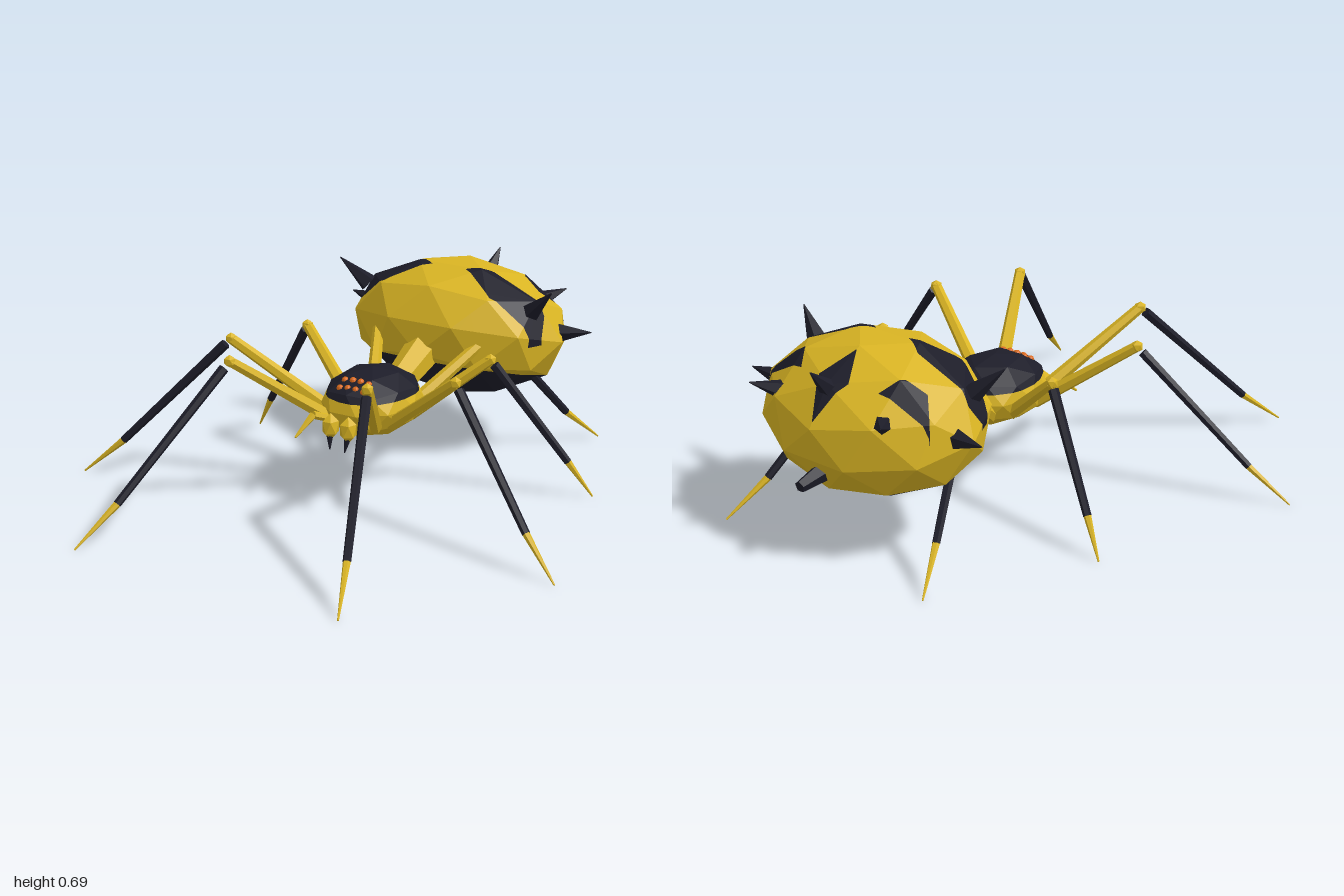
import * as THREE from 'three';

const V = (x, y, z) => new THREE.Vector3(x, y, z);
const yellow = new THREE.MeshStandardMaterial({ color: 0xd9b423 });
yellow.name = 'yellow';
const black = new THREE.MeshStandardMaterial({ color: 0x1d1d29 });
black.name = 'black';
const orange = new THREE.MeshStandardMaterial({ color: 0xd8691c });
orange.name = 'orange';

// Faceted normals for every geometry
function facet(geo) {
  const g = geo.index ? geo.toNonIndexed() : geo;
  g.computeVertexNormals();
  return g;
}

function addMesh(parent, name, geo, material) {
  const mesh = new THREE.Mesh(facet(geo), material);
  mesh.name = name;
  parent.add(mesh);
  return mesh;
}

// Icosphere standing on a vertex, stretched to an ellipsoid
function ball(rx, ry, rz, detail = 1) {
  return new THREE.IcosahedronGeometry(1, detail)
    .rotateX(-Math.atan((1 + Math.sqrt(5)) / 2)).rotateY(Math.PI).scale(rx, ry, rz);
}

// Tapered rod between two points
function rod(a, b, ra, rb, sides = 6) {
  const d = b.clone().sub(a);
  const g = new THREE.CylinderGeometry(rb, ra, d.length(), sides);
  g.applyQuaternion(new THREE.Quaternion().setFromUnitVectors(V(0, 1, 0), d.normalize()));
  const m = a.clone().add(b).multiplyScalar(0.5);
  return g.translate(m.x, m.y, m.z);
}

// Cut a convex polygon by a plane into [inside, outside]
function split(poly, plane) {
  const inside = [], outside = [];
  poly.forEach((p, i) => {
    const q = poly[(i + 1) % poly.length];
    const dp = plane.distanceToPoint(p), dq = plane.distanceToPoint(q);
    (dp >= 0 ? inside : outside).push(p);
    if ((dp >= 0) !== (dq >= 0)) {
      const c = p.clone().lerp(q, dp / (dp - dq));
      inside.push(c);
      outside.push(c);
    }
  });
  return [inside, outside];
}

// Divide a surface into plain (group 0) and marked (group 1) faces;
// each region is a list of planes enclosing a marking
function paint(geo, regions) {
  const pos = geo.attributes.position, lists = [[], []];
  const emit = (poly, k) => {
    for (let i = 1; i + 1 < poly.length; i++)
      for (const p of [poly[0], poly[i], poly[i + 1]]) lists[k].push(p.x, p.y, p.z);
  };
  for (let t = 0; t < pos.count; t += 3) {
    let pieces = [[0, 1, 2].map(i => new THREE.Vector3().fromBufferAttribute(pos, t + i))];
    for (const region of regions) {
      const next = [];
      for (const piece of pieces) {
        let rest = piece;
        for (const plane of region) {
          const [inside, outside] = split(rest, plane);
          if (outside.length > 2) next.push(outside);
          rest = inside;
          if (rest.length < 3) break;
        }
        if (rest.length > 2) emit(rest, 1);
      }
      pieces = next;
    }
    pieces.forEach(p => emit(p, 0));
  }
  const out = new THREE.BufferGeometry();
  out.setAttribute('position', new THREE.Float32BufferAttribute([...lists[0], ...lists[1]], 3));
  out.addGroup(0, lists[0].length / 3, 0);
  out.addGroup(lists[0].length / 3, lists[1].length / 3, 1);
  return out;
}

// Upright prism over a convex outline of [x, z] points, above height y
function prism(outline, y) {
  const n = outline.length;
  const mid = V(0, 0, 0);
  outline.forEach(([x, z]) => mid.add(V(x / n, 0, z / n)));
  const planes = outline.map(([x, z], i) => {
    const [x2, z2] = outline[(i + 1) % n];
    const plane = new THREE.Plane().setFromNormalAndCoplanarPoint(V(z2 - z, 0, x - x2).normalize(), V(x, 0, z));
    return plane.distanceToPoint(mid) < 0 ? plane.negate() : plane;
  });
  return [new THREE.Plane(V(0, 1, 0), -y), ...planes];
}

export function createModel() {
  const model = new THREE.Group();
  model.name = 'spider';

  // Abdomen with dark belly and back patches
  const patches = [
    [[0.07, -0.55], [0.16, -0.605], [0.37, -0.6], [0.4, -0.51], [0.22, -0.46]],
    [[0.17, -0.805], [0.36, -0.775], [0.29, -0.705], [0.22, -0.73]],
  ];
  const regions = [[new THREE.Plane().setFromNormalAndCoplanarPoint(V(0, -1, 0.27).normalize(), V(0, 0.385, -0.34))]];
  for (const s of [1, -1])
    for (const p of patches) regions.push(prism(p.map(([x, z]) => [s * x, z]), 0.45));
  regions.push(prism([[0, -0.935], [0.065, -0.83], [0, -0.72], [-0.065, -0.83]], 0.45));
  const abdomen = ball(0.425, 0.255, 0.325).rotateX(-0.27).translate(0, 0.445, -0.638);
  addMesh(model, 'abdomen', paint(abdomen, regions), [yellow, black]);

  // Head and thorax with dark shield
  const thorax = ball(0.17, 0.122, 0.205).translate(0, 0.328, -0.03);
  addMesh(model, 'thorax', paint(thorax, [[new THREE.Plane(V(0, 1, 0), -0.365)]]), [yellow, black]);
  addMesh(model, 'waist', rod(V(0, 0.33, -0.17), V(0, 0.43, -0.4), 0.05, 0.07), yellow);

  // Spines on the abdomen
  const spine = (a, b, r = 0.036, tip = 0.002) => addMesh(model, 'spine', rod(a, b, r, tip, 5), black);
  spine(V(0, 0.58, -0.845), V(0, 0.67, -0.935));
  spine(V(0, 0.315, -0.88), V(0, 0.295, -1), 0.036, 0.02);

  const legs = [
    [V(0.09, 0.28, 0.1), V(0.275, 0.55, 0.44), V(0.455, 0.13, 0.845), V(0.52, 0.004, 0.997)],
    [V(0.12, 0.28, 0.04), V(0.455, 0.53, 0.18), V(0.82, 0.13, 0.345), V(0.957, 0.004, 0.403)],
    [V(0.12, 0.28, -0.08), V(0.38, 0.495, -0.19), V(0.63, 0.13, -0.31), V(0.71, 0.004, -0.35)],
    [V(0.08, 0.28, -0.15), V(0.24, 0.5, -0.46), V(0.38, 0.13, -0.775), V(0.445, 0.004, -0.915)],
  ];

  for (const s of [1, -1]) {
    const m = v => V(s * v.x, v.y, v.z);
    spine(m(V(0.345, 0.57, -0.55)), m(V(0.445, 0.665, -0.51)));
    spine(m(V(0.39, 0.465, -0.68)), m(V(0.51, 0.48, -0.7)));
    spine(m(V(0.22, 0.52, -0.84)), m(V(0.29, 0.555, -0.925)));

    // Legs: thigh, knee, dark shin, pointed foot
    for (const leg of legs) {
      const [hip, knee, ankle, tip] = leg.map(m);
      const g = new THREE.Group();
      g.name = 'leg';
      model.add(g);
      const shinTop = knee.clone().lerp(ankle, 0.05);
      addMesh(g, 'thigh', rod(hip, knee, 0.026, 0.019), yellow);
      addMesh(g, 'knee', ball(0.022, 0.022, 0.022, 0).translate(knee.x, knee.y, knee.z), yellow);
      addMesh(g, 'shin', rod(shinTop, ankle, 0.018, 0.014), black);
      addMesh(g, 'foot', rod(ankle, tip, 0.013, 0.003), yellow);
    }

    // Jaws with fangs, and feelers
    addMesh(model, 'jaw', ball(0.032, 0.048, 0.036, 0).translate(s * 0.036, 0.285, 0.185), yellow);
    addMesh(model, 'fang', rod(m(V(0.036, 0.26, 0.19)), m(V(0.03, 0.205, 0.2)), 0.014, 0.002, 5), black);
    const feeler = [V(0.07, 0.28, 0.1), V(0.105, 0.315, 0.19), V(0.13, 0.25, 0.265)].map(m);
    addMesh(model, 'feeler', rod(feeler[0], feeler[1], 0.016, 0.014), yellow);
    addMesh(model, 'feelerTip', rod(feeler[1], feeler[2], 0.014, 0.004), yellow);

    // Eyes in two rows
    for (const x of [0.016, 0.048])
      for (const [z, y] of [[0.072, 0.424], [0.106, 0.405]])
        addMesh(model, 'eye', ball(0.013, 0.013, 0.013).translate(s * x, y - x * 0.12, z), orange);
  }
  return model;
}
